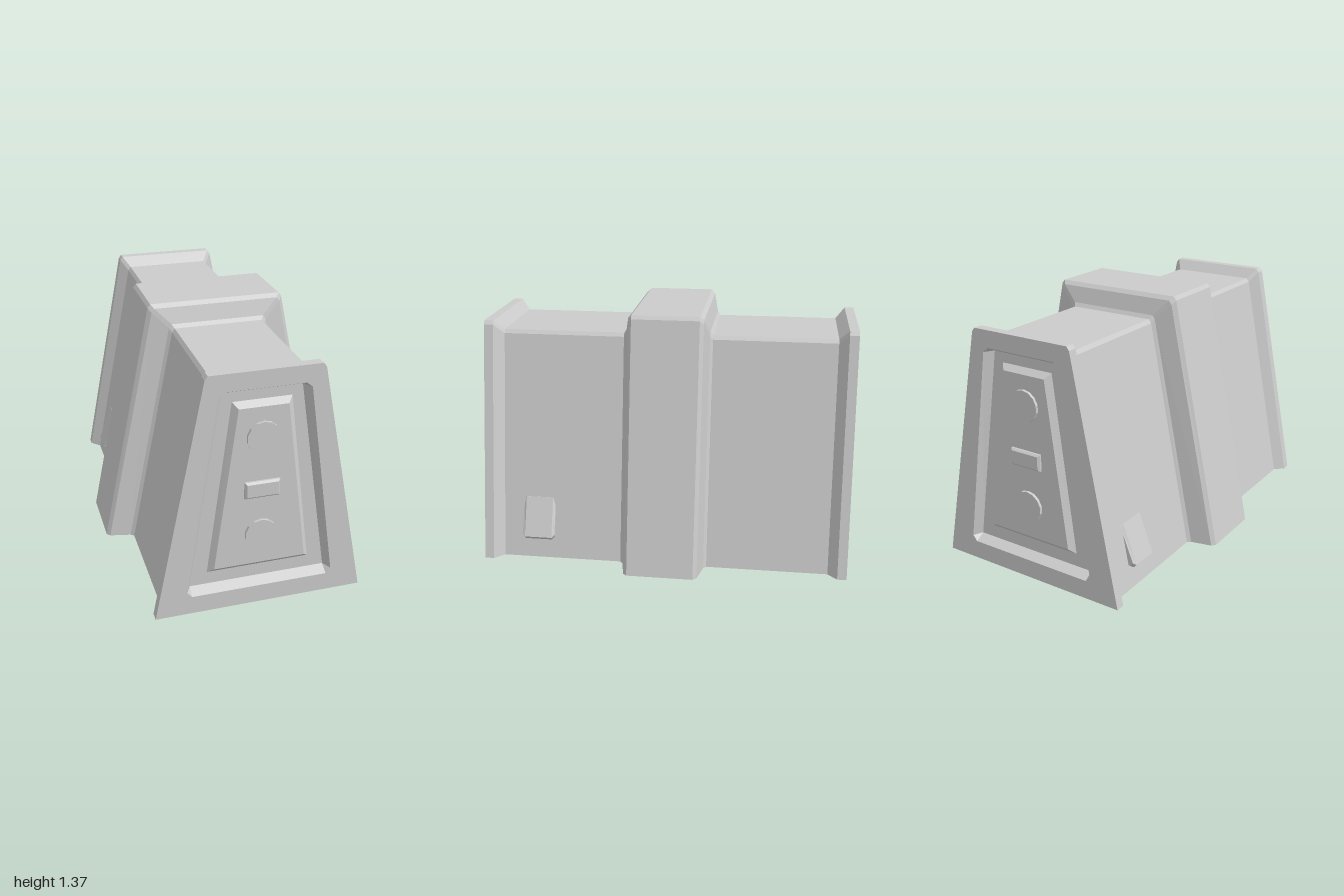
import * as THREE from 'three';

const material = new THREE.MeshStandardMaterial({ color: 0xcccccc, flatShading: true });

// Joins rings of equal length (counter-clockwise seen from +z, ordered by rising z)
function loft(name, rings, capStart, capEnd) {
  const out = [];
  const tri = (a, b, c) => {
    const n = new THREE.Vector3().subVectors(b, a).cross(new THREE.Vector3().subVectors(c, a));
    if (n.length() > 1e-9) for (const p of [a, b, c]) out.push(p.x, p.y, p.z);
  };
  for (let r = 0; r < rings.length - 1; r++) {
    const a = rings[r], b = rings[r + 1], n = a.length;
    for (let i = 0; i < n; i++) {
      const j = (i + 1) % n;
      tri(a[i], a[j], b[j]);
      tri(a[i], b[j], b[i]);
    }
  }
  const first = rings[0], last = rings[rings.length - 1];
  for (let i = 1; i < first.length - 1; i++) {
    if (capStart) tri(first[0], first[i + 1], first[i]);
    if (capEnd) tri(last[0], last[i], last[i + 1]);
  }
  const geometry = new THREE.BufferGeometry();
  geometry.setAttribute('position', new THREE.Float32BufferAttribute(out, 3));
  geometry.computeVertexNormals();
  const mesh = new THREE.Mesh(geometry, material);
  mesh.name = name;
  return mesh;
}

// Symmetric ring from its right half, listed bottom to top
function ring(half, z) {
  const right = half.map(([x, y]) => new THREE.Vector3(x, y, z));
  const left = half.map(([x, y]) => new THREE.Vector3(-x, y, z)).reverse();
  return [...right, ...left];
}

// Trapezoid with clipped top corners
const trapezoid = (base, top, height) =>
  [[base, 0], [top, height - 0.02], [top - 0.015, height]];

const flange = trapezoid(0.55, 0.295, 1.30);
const wall = trapezoid(0.50, 0.255, 1.245);

function buildBody() {
  // Front half of the stations, from the middle outwards
  const stations = [
    [0.18, trapezoid(0.65, 0.37, 1.37)],
    [0.20, trapezoid(0.632, 0.353, 1.35)],
    [0.225, trapezoid(0.518, 0.268, 1.265)],
    [0.24, wall],
    [0.90, wall],
    [0.95, flange],
    [1.00, flange],
  ];
  const back = stations.map(([z, s]) => ring(s, -z)).reverse();
  const front = stations.map(([z, s]) => ring(s, z));
  return loft('body', [...back, ...front], false, false);
}

function buildEnd() {
  const end = new THREE.Group();
  const add = (mesh, name) => {
    mesh.name = name;
    end.add(mesh);
    return mesh;
  };

  // Flat rim around the recess
  const rimHole = [[0.36, 0.10], [0.385, 0.13], [0.23, 1.185], [0.20, 1.21]];
  const toPoints = (half) => ring(half, 0).map((p) => new THREE.Vector2(p.x, p.y));
  const rim = new THREE.Shape(toPoints(flange));
  rim.holes.push(new THREE.Path(toPoints(rimHole)));
  add(new THREE.Mesh(new THREE.ShapeGeometry(rim), material), 'endRim').position.z = 1;

  // Sloped recess wall and floor, wound inwards
  const floorEdge = [[0.36, 0.13], [0.36, 0.13], [0.20, 1.185], [0.20, 1.185]];
  end.add(loft('recess', [ring(rimHole, 1), ring(floorEdge, 0.95)], false, true));

  // Raised bevelled panel
  end.add(loft('panel', [
    ring([[0.27, 0.20], [0.15, 1.133]], 0.95),
    ring([[0.24, 0.23], [0.125, 1.105]], 0.98),
  ], false, true));

  // Round studs
  for (const y of [0.405, 0.947]) {
    const stud = add(new THREE.Mesh(new THREE.CylinderGeometry(0.084, 0.084, 0.02, 14), material), 'stud');
    stud.rotation.x = Math.PI / 2;
    stud.position.set(0, y, 0.985);
  }

  // Bevelled centre block
  end.add(loft('centreBlock', [
    ring([[0.09, 0.62], [0.09, 0.71]], 0.975),
    ring([[0.09, 0.62], [0.09, 0.71]], 0.99),
    ring([[0.08, 0.63], [0.08, 0.70]], 1.0),
  ], false, true));

  // Wedge on the side wall, with clipped ends
  const wedge = (inset, z) => [
    [0.42, 0.11 + inset], [0.497 - inset, 0.11 + inset], [0.514 - inset, 0.128 + inset],
    [0.434 - inset, 0.338], [0.42, 0.338],
  ].map(([x, y]) => new THREE.Vector3(x, y, z));
  end.add(loft('sideWedge', [
    wedge(0.012, 0.61), wedge(0, 0.625), wedge(0, 0.775), wedge(0.012, 0.79),
  ], true, true));
  return end;
}

export function createModel() {
  const model = new THREE.Group();
  model.name = 'barrier';
  model.add(buildBody());

  // The same end at the front and, turned half round, at the back
  ['frontEnd', 'backEnd'].forEach((name, i) => {
    const end = buildEnd();
    end.name = name;
    end.rotation.y = i * Math.PI;
    model.add(end);
  });
  return model;
}
